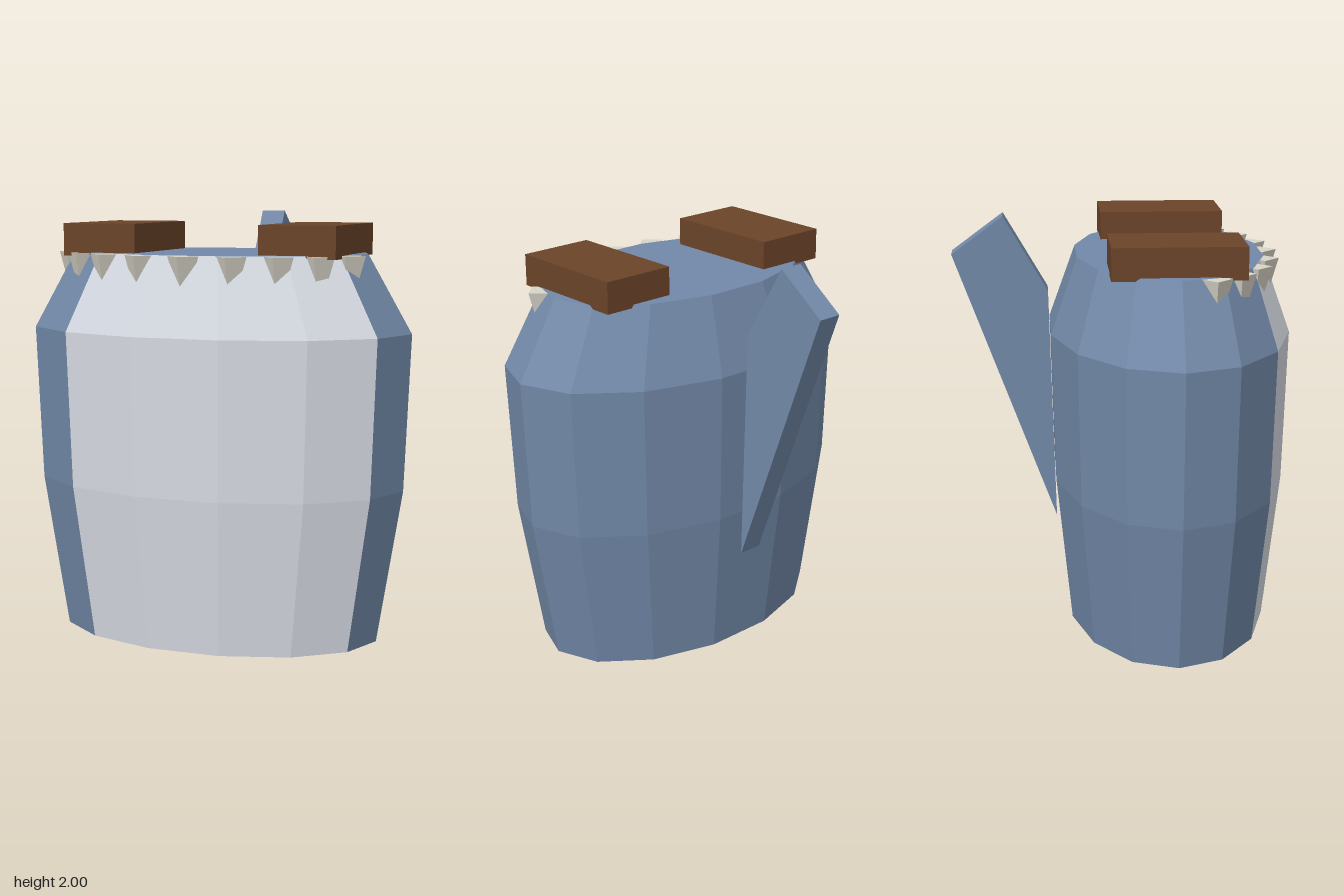
import * as THREE from 'three';

const SIDES = 14;
const CENTRE_Z = 0.23;
// body cross-sections: height, x radius, z radius
const RINGS = [
  [0, 0.79, 0.487],
  [0.73, 0.91, 0.562],
  [1.46, 0.94, 0.58],
  [1.82, 0.73, 0.451],
];

const material = (color) => new THREE.MeshStandardMaterial({ color, flatShading: true });

function ringPoint(ring, i) {
  const [y, rx, rz] = RINGS[ring];
  const a = (i / SIDES) * Math.PI * 2;
  return [rx * Math.cos(a), y, CENTRE_Z + rz * Math.sin(a)];
}

// wall panels from index first to last, optionally closed top and bottom
function panels(first, last, capped) {
  const pos = [];
  const tri = (a, b, c) => pos.push(...a, ...b, ...c);
  for (let i = first; i <= last; i++) {
    for (let r = 0; r < RINGS.length - 1; r++) {
      const a = ringPoint(r, i), b = ringPoint(r, i + 1);
      const c = ringPoint(r + 1, i + 1), d = ringPoint(r + 1, i);
      tri(a, d, b);
      tri(b, d, c);
    }
  }
  if (capped) {
    const top = RINGS.length - 1;
    for (let i = 0; i < SIDES; i++) {
      tri([0, RINGS[top][0], CENTRE_Z], ringPoint(top, i + 1), ringPoint(top, i));
      tri([0, 0, CENTRE_Z], ringPoint(0, i), ringPoint(0, i + 1));
    }
  }
  const geometry = new THREE.BufferGeometry();
  geometry.setAttribute('position', new THREE.Float32BufferAttribute(pos, 3));
  geometry.computeVertexNormals();
  return geometry;
}

export function createModel() {
  const model = new THREE.Group();
  const blue = material(0x7289a8);
  const white = material(0xd6dae2);
  const brown = material(0x6b4429);
  const ivory = material(0xd8d4c8);

  const add = (name, geometry, mat, parent = model) => {
    const mesh = new THREE.Mesh(geometry, mat);
    mesh.name = name;
    parent.add(mesh);
    return mesh;
  };

  // barrel body with a pale belly on four front panels
  add('body', panels(5, SIDES, true), blue);
  add('belly', panels(1, 4, false), white);

  // flat back fin
  const outline = new THREE.Shape([
    new THREE.Vector2(0.315, 0.5),
    new THREE.Vector2(0.8, 1.82),
    new THREE.Vector2(0.555, 2),
    new THREE.Vector2(0.345, 1.64),
  ]);
  const fin = new THREE.ExtrudeGeometry(outline, { depth: 0.12, bevelEnabled: false });
  fin.translate(0, 0, -0.06).rotateY(Math.PI / 2);
  add('backFin', fin, blue);

  // blocks resting on top
  for (const side of [-1, 1]) {
    const block = add(side > 0 ? 'leftBlock' : 'rightBlock', new THREE.BoxGeometry(0.363, 0.15, 0.606), brown);
    block.position.set(side * 0.483, 1.88, 0.227);
  }

  // downward teeth around the front rim
  const teeth = new THREE.Group();
  teeth.name = 'teeth';
  model.add(teeth);
  const toothHeight = 0.26;
  const toothShape = new THREE.ConeGeometry(0.075, toothHeight, 4).rotateX(Math.PI);
  for (let i = -4; i <= 4; i++) {
    const a = THREE.MathUtils.degToRad(i * 17.5);
    const tooth = add('tooth', toothShape, ivory, teeth);
    tooth.position.set(0.73 * Math.sin(a), 1.818 - toothHeight / 2, CENTRE_Z + 0.45 * Math.cos(a));
  }

  return model;
}
